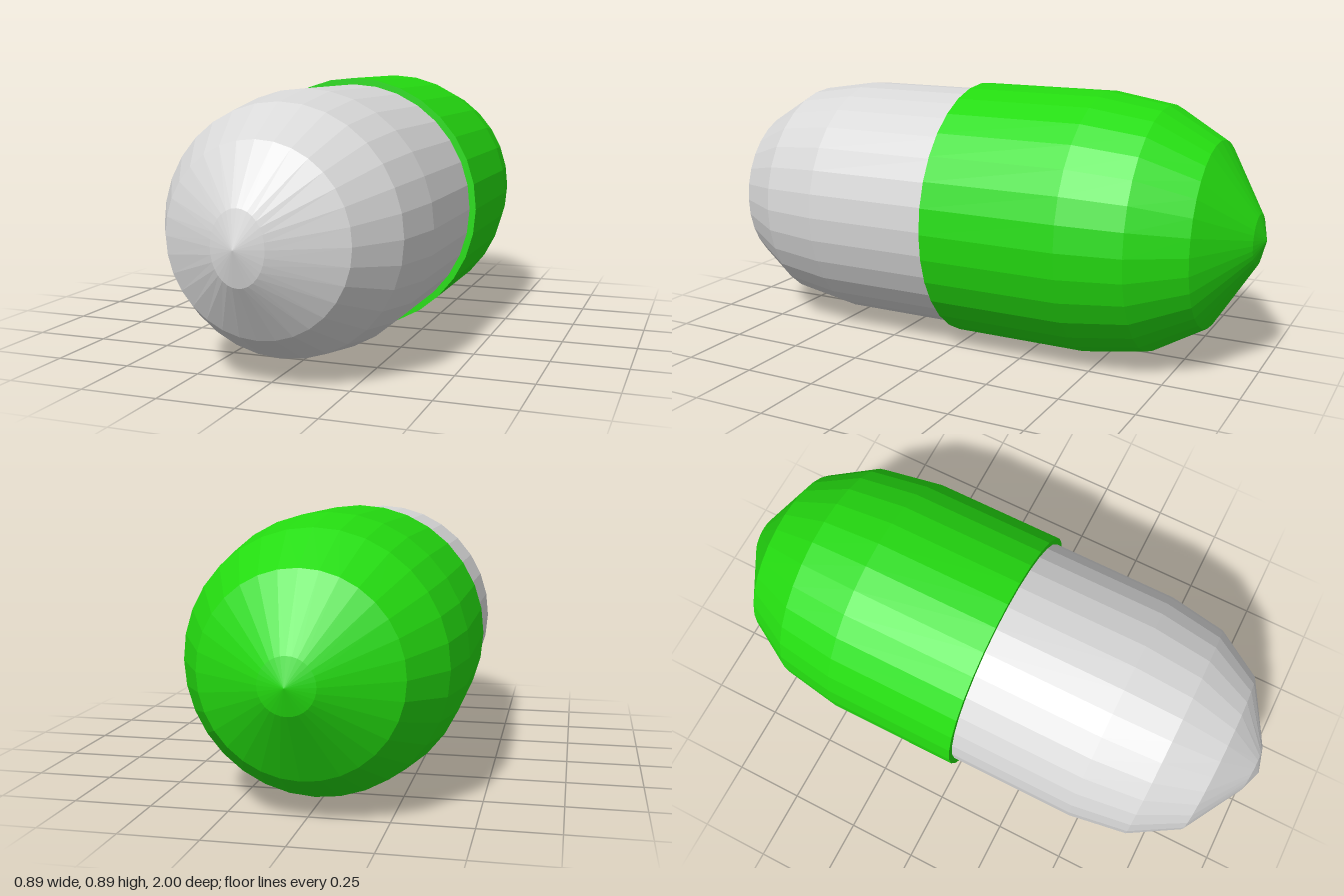
import * as THREE from 'three';

const SIDES = 32;
const AXIS_HEIGHT = 0.446;

// Revolves [radius, z] pairs (back to front) around the z axis
function revolve(profile) {
  const points = profile.map(([r, z]) => new THREE.Vector2(r, z));
  return new THREE.LatheGeometry(points, SIDES).rotateX(Math.PI / 2);
}

function addPart(group, name, geometry, material) {
  const mesh = new THREE.Mesh(geometry, material);
  mesh.name = name;
  mesh.position.y = AXIS_HEIGHT;
  group.add(mesh);
}

export function createModel() {
  const group = new THREE.Group();
  group.name = 'capsule';

  const green = new THREE.MeshStandardMaterial({ color: 0x24dc10, flatShading: true });
  green.name = 'green';
  const grey = new THREE.MeshStandardMaterial({ color: 0xd8d8d8, flatShading: true });
  grey.name = 'light grey';

  // Wider back half, closed by a flat lip around the front half
  const cap = revolve([
    [0, -1], [0.085, -0.975], [0.31, -0.837], [0.412, -0.662],
    [0.446, -0.45], [0.446, 0.025], [0.41, 0.025],
  ]);
  addPart(group, 'backCap', cap, green);

  // Narrower front half, with its nose ring slightly squeezed sideways
  const body = revolve([
    [0.424, 0], [0.424, 0.476], [0.392, 0.68], [0.293, 0.847], [0.113, 0.97], [0, 1],
  ]);
  const p = body.attributes.position;
  for (let i = 0; i < p.count; i++) {
    if (p.getZ(i) > 0.96) p.setX(i, p.getX(i) * 0.74);
  }
  body.computeVertexNormals();
  addPart(group, 'frontBody', body, grey);

  return group;
}
